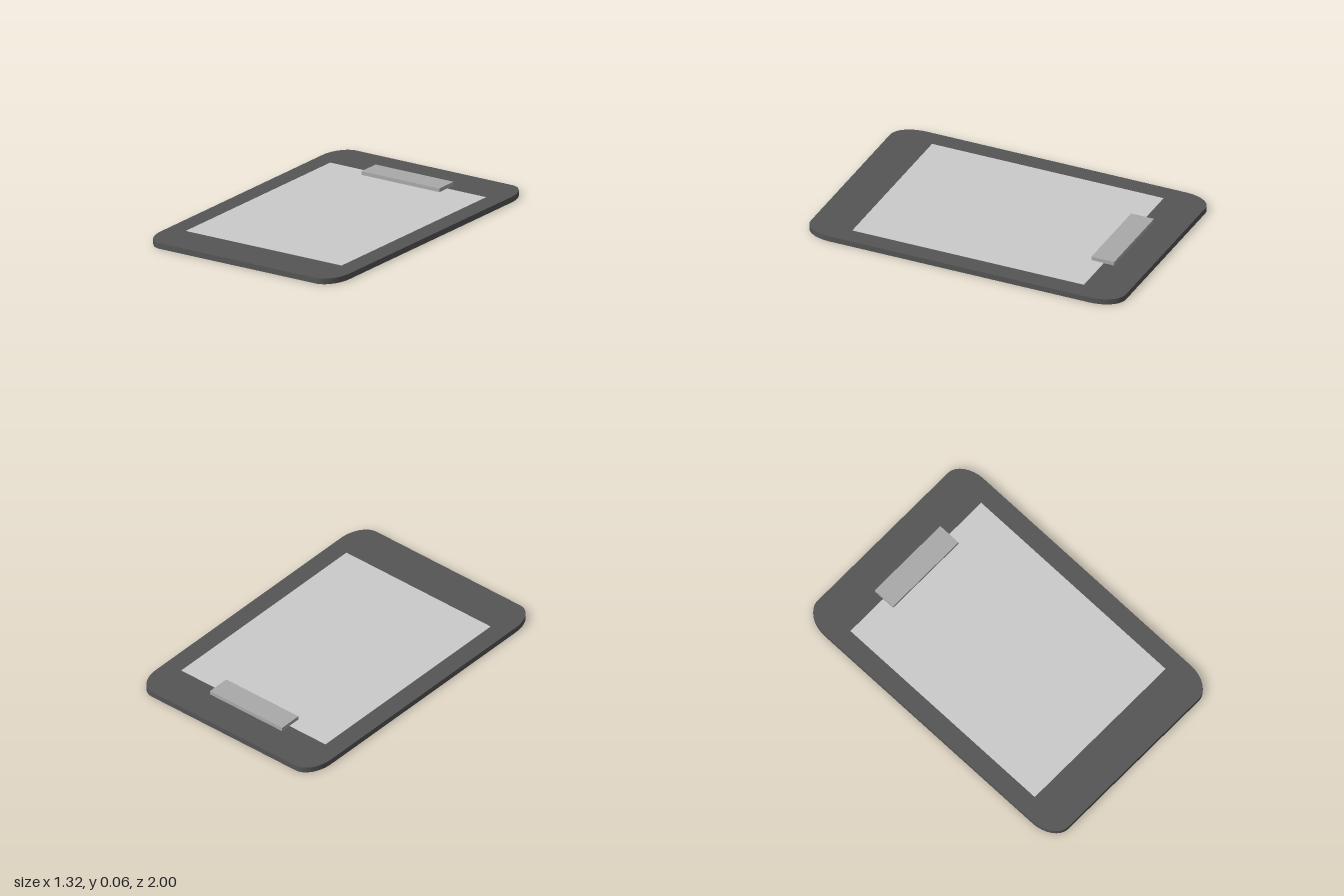
import * as THREE from 'three';

const HALF_W = 0.66, HALF_L = 1, THICK = 0.034;

function part(name, geometry, color) {
  const mesh = new THREE.Mesh(geometry, new THREE.MeshStandardMaterial({ color, flatShading: true }));
  mesh.name = name;
  return mesh;
}

// Box placed by its centre in plan and its bottom height
function slab(name, w, h, d, bottom, z, color) {
  const mesh = part(name, new THREE.BoxGeometry(w, h, d), color);
  mesh.position.set(0, bottom + h / 2, z);
  return mesh;
}

// Rectangle with elliptical corners
function boardShape(rx, rz) {
  const x = HALF_W - rx, z = HALF_L - rz;
  const shape = new THREE.Shape();
  shape.moveTo(HALF_W, -z);
  [[x, z], [-x, z], [-x, -z], [x, -z]].forEach(([cx, cz], i) => {
    shape.absellipse(cx, cz, rx, rz, i * Math.PI / 2, (i + 1) * Math.PI / 2, false, 0);
  });
  return shape;
}

export function createModel() {
  const model = new THREE.Group();
  model.name = 'clipboard';

  // Backing board, laid flat
  const board = new THREE.ExtrudeGeometry(boardShape(0.117, 0.177), {
    depth: THICK, bevelEnabled: false, curveSegments: 8,
  });
  board.rotateX(-Math.PI / 2);
  model.add(part('board', board, 0x555555));

  // Sheet of paper and the clip that holds its back edge
  model.add(slab('paper', 1.088, 0.002, 1.47, THICK - 0.0005, 0, 0xcccccc));
  model.add(slab('clip', 0.544, 0.024, 0.145, THICK, -0.728, 0xaaaaaa));

  return model;
}
